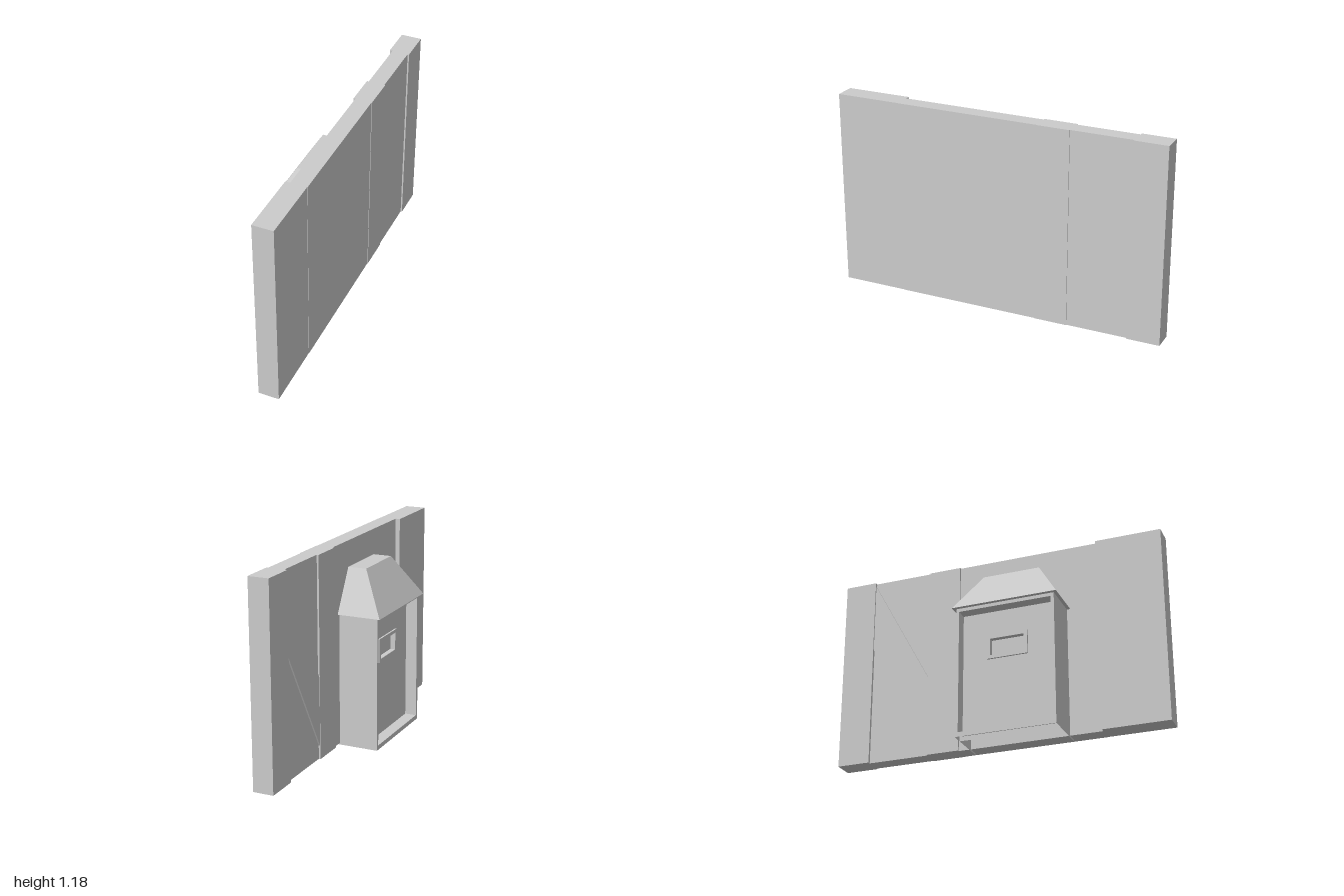
import * as THREE from 'three';
import { ConvexGeometry } from 'three/addons/geometries/ConvexGeometry.js';

const material = new THREE.MeshStandardMaterial({ color: 0xcccccc, flatShading: true, side: THREE.DoubleSide });

function add(group, name, geometry) {
  const mesh = new THREE.Mesh(geometry, material);
  mesh.name = name;
  group.add(mesh);
}

// Corners of a rectangle as [z, y]
const rect = (z0, z1, y0, y1) => [[z0, y0], [z1, y0], [z1, y1], [z0, y1]];

function outline(points, hole) {
  const shape = new THREE.Shape(points.map((p) => new THREE.Vector2(...p)));
  if (hole) shape.holes.push(new THREE.Path(hole.map((p) => new THREE.Vector2(...p))));
  return shape;
}

// Flat sheet facing -x
const sheet = (points, x, hole) =>
  new THREE.ShapeGeometry(outline(points, hole)).rotateY(-Math.PI / 2).translate(x, 0, 0);

// Solid slab between two x positions
const slab = (points, xFront, xBack, hole) =>
  new THREE.ExtrudeGeometry(outline(points, hole), { depth: xBack - xFront, bevelEnabled: false })
    .rotateY(-Math.PI / 2).translate(xBack, 0, 0);

// Open sleeve: sweeps a closed outline from one x to another
function sleeve(points, xFront, xBack) {
  const positions = [];
  points.forEach(([z0, y0], i) => {
    const [z1, y1] = points[(i + 1) % points.length];
    positions.push(xFront, y0, z0, xFront, y1, z1, xBack, y1, z1);
    positions.push(xFront, y0, z0, xBack, y1, z1, xBack, y0, z0);
  });
  const geometry = new THREE.BufferGeometry();
  geometry.setAttribute('position', new THREE.Float32BufferAttribute(positions, 3));
  geometry.computeVertexNormals();
  return geometry;
}

export function createModel() {
  const model = new THREE.Group();
  model.name = 'wallWithBay';

  // Wall in stepped sections: z range, x range
  const wall = new THREE.Group();
  wall.name = 'wall';
  const sections = [
    ['backPost', -1, -0.805, 0.058, 0.179],
    ['bracedPanel', -0.805, -0.44, 0.075, 0.17],
    ['middlePost', -0.44, -0.245, 0.064, 0.175],
    ['mainPanel', -0.245, 0.61, 0.075, 0.172],
    ['frontPost', 0.61, 1, 0.047, 0.17],
  ];
  for (const [name, z0, z1, x0, x1] of sections) add(wall, name, slab(rect(z0, z1, 0.01, 1.182), x0, x1));

  // Diagonal brace between the posts
  add(wall, 'diagonalBrace', slab([[-0.805, 0.73], [-0.44, 0.09], [-0.44, 0.49], [-0.805, 1.16]], 0.066, 0.08));
  model.add(wall);

  // Projecting bay: a hollow shell, open underneath
  const bay = new THREE.Group();
  bay.name = 'bay';
  const face = rect(-0.17, 0.42, 0, 0.785);
  const niche = rect(-0.153, 0.4, 0.027, 0.765);
  const front = -0.16, recess = -0.09;
  add(bay, 'bayFront', sheet(face, front, niche));
  for (const [name, z] of [['bayBackSide', -0.17], ['bayFrontSide', 0.42]]) {
    add(bay, name, new THREE.PlaneGeometry(0.3, 0.785).translate(-0.01, 0.3925, z));
  }
  add(bay, 'nicheReveal', sleeve(niche, front, recess));

  // Recessed panel with a small framed window
  const opening = rect(0.015, 0.217, 0.49, 0.592);
  add(bay, 'nichePanel', sheet(face, recess, opening));
  add(bay, 'windowFrame', slab(rect(-0.005, 0.238, 0.47, 0.612), recess - 0.01, recess, opening));
  add(bay, 'windowReveal', sleeve(opening, recess, recess + 0.02));
  add(bay, 'windowPane', sheet(opening, recess + 0.02));

  // Hipped roof with a flat top, running into the wall
  const corners = [];
  for (const [x, y, z0, z1] of [[-0.182, 0.785, -0.19, 0.44], [-0.036, 1.03, -0.05, 0.292]]) {
    for (const z of [z0, z1]) corners.push(new THREE.Vector3(x, y, z), new THREE.Vector3(0.1, y, z));
  }
  add(bay, 'bayRoof', new ConvexGeometry(corners));
  model.add(bay);

  return model;
}
